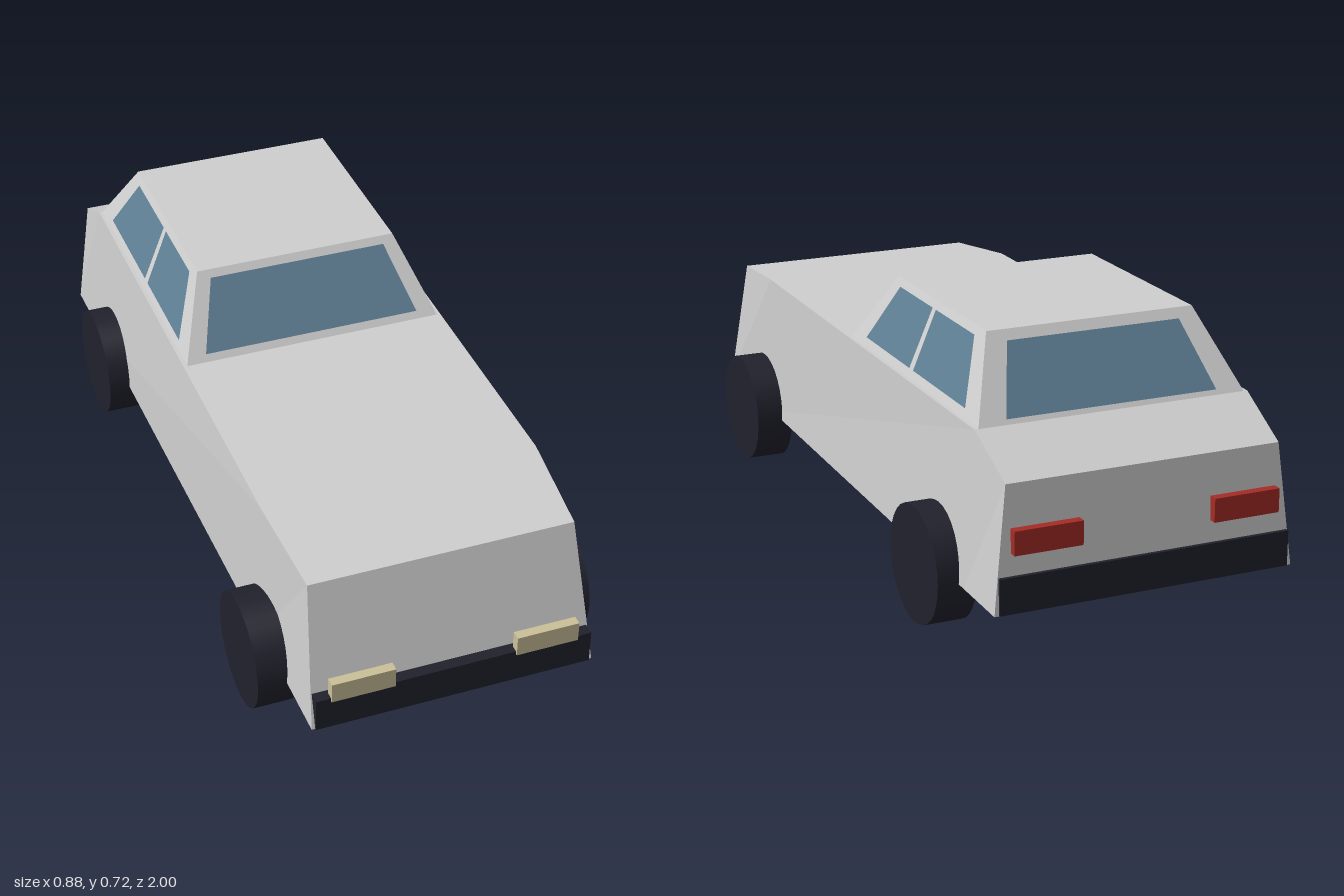
import * as THREE from 'three';

const mat = (name, color, extra = {}) => {
  const m = new THREE.MeshStandardMaterial({ color, ...extra });
  m.name = name;
  return m;
};

// Flat-shaded mesh from quads, each with corners counter-clockwise from outside
function quadMesh(name, quads, material) {
  const pos = [];
  for (const [a, b, c, d] of quads) pos.push(...a, ...b, ...c, ...a, ...c, ...d);
  const geo = new THREE.BufferGeometry();
  geo.setAttribute('position', new THREE.Float32BufferAttribute(pos, 3));
  geo.computeVertexNormals();
  const mesh = new THREE.Mesh(geo, material);
  mesh.name = name;
  return mesh;
}

// Closed shell through four-cornered sections, listed from front to back.
// Section: top [half width, y, z] and bottom [half width, y, z]
function shell(name, sections, material) {
  const rings = sections.map(([t, b]) => [
    [-b[0], b[1], b[2]], [b[0], b[1], b[2]], [t[0], t[1], t[2]], [-t[0], t[1], t[2]],
  ]);
  const quads = [rings[0], [...rings[rings.length - 1]].reverse()];
  for (let i = 0; i < rings.length - 1; i++) {
    for (let k = 0; k < 4; k++) {
      const n = (k + 1) % 4;
      quads.push([rings[i][k], rings[i + 1][k], rings[i + 1][n], rings[i][n]]);
    }
  }
  return quadMesh(name, quads, material);
}

export function createModel() {
  const paint = mat('body paint', 0xcfcfcf);
  const glass = mat('window glass', 0x5f7f94);
  const dark = mat('dark rubber', 0x21212d);
  const cream = mat('headlight cream', 0xcbc099);
  const red = mat('tail light red', 0xa52c25);

  const car = new THREE.Group();
  car.name = 'car';

  // Lower body: nose, bonnet break, boot break, tail
  car.add(shell('body', [
    [[0.34, 0.507, 0.89], [0.365, 0.145, 0.99]],
    [[0.36, 0.535, 0.62], [0.369, 0.145, 0.62]],
    [[0.36, 0.535, -0.81], [0.388, 0.145, -0.81]],
    [[0.355, 0.455, -0.97], [0.39, 0.145, -0.99]],
  ], paint));

  // Tapered cabin
  const base = 0.535, roof = 0.725;
  car.add(shell('cabin', [
    [[0.273, roof, -0.14], [0.35, base, 0]],
    [[0.273, roof, -0.68], [0.35, base, -0.81]],
  ], paint));

  // Window panes, lying just outside the sloping cabin walls
  const gap = 0.003;
  const up = (y) => (y - base) / (roof - base);
  const frontAt = (x, y) => [x, y, -0.14 * up(y) + gap];
  const rearAt = (x, y) => [x, y, -0.81 + 0.13 * up(y) - gap];
  const sideAt = (s, y, z) => [s * (0.35 - 0.077 * up(y) + gap), y, z];

  car.add(quadMesh('windscreen', [[
    frontAt(-0.295, 0.553), frontAt(0.295, 0.553), frontAt(0.241, 0.708), frontAt(-0.241, 0.708),
  ]], glass));
  car.add(quadMesh('rearWindow', [[
    rearAt(0.277, 0.547), rearAt(-0.277, 0.547), rearAt(-0.228, 0.702), rearAt(0.228, 0.702),
  ]], glass));

  // Side panes: z of bottom front, bottom rear, top rear, top front
  const panes = { frontSideWindow: [-0.09, -0.378, -0.385, -0.175], rearSideWindow: [-0.402, -0.72, -0.637, -0.405] };
  for (const s of [1, -1]) {
    for (const [name, [bf, br, tr, tf]] of Object.entries(panes)) {
      const quad = [sideAt(s, 0.557, bf), sideAt(s, 0.557, br), sideAt(s, 0.706, tr), sideAt(s, 0.706, tf)];
      car.add(quadMesh(name, [s > 0 ? quad : quad.reverse()], glass));
    }
  }

  // Box between two opposite corners
  const box = (name, x0, x1, y0, y1, z0, z1, material) => {
    const mesh = new THREE.Mesh(new THREE.BoxGeometry(x1 - x0, y1 - y0, z1 - z0), material);
    mesh.position.set((x0 + x1) / 2, (y0 + y1) / 2, (z0 + z1) / 2);
    mesh.name = name;
    car.add(mesh);
  };

  // Bumpers
  box('frontBumper', -0.356, 0.356, 0.146, 0.236, 0.93, 0.995, dark);
  box('rearBumper', -0.378, 0.378, 0.146, 0.236, -0.994, -0.95, dark);

  // Lights
  for (const s of [1, -1]) {
    const cx = s * 0.2375, tx = s * 0.258;
    box('headlight', cx - 0.081, cx + 0.081, 0.228, 0.282, 0.975, 1, cream);
    box('tailLight', tx - 0.087, tx + 0.087, 0.29, 0.35, -1, -0.97, red);
  }

  // Wheels
  const wheelGeo = new THREE.CylinderGeometry(0.149, 0.149, 0.1, 32).rotateZ(Math.PI / 2);
  for (const s of [1, -1]) {
    for (const [name, z] of [['frontWheel', 0.67], ['rearWheel', -0.632]]) {
      const wheel = new THREE.Mesh(wheelGeo, dark);
      wheel.position.set(s * 0.391, 0.15, z);
      wheel.name = name;
      car.add(wheel);
    }
  }
  return car;
}
